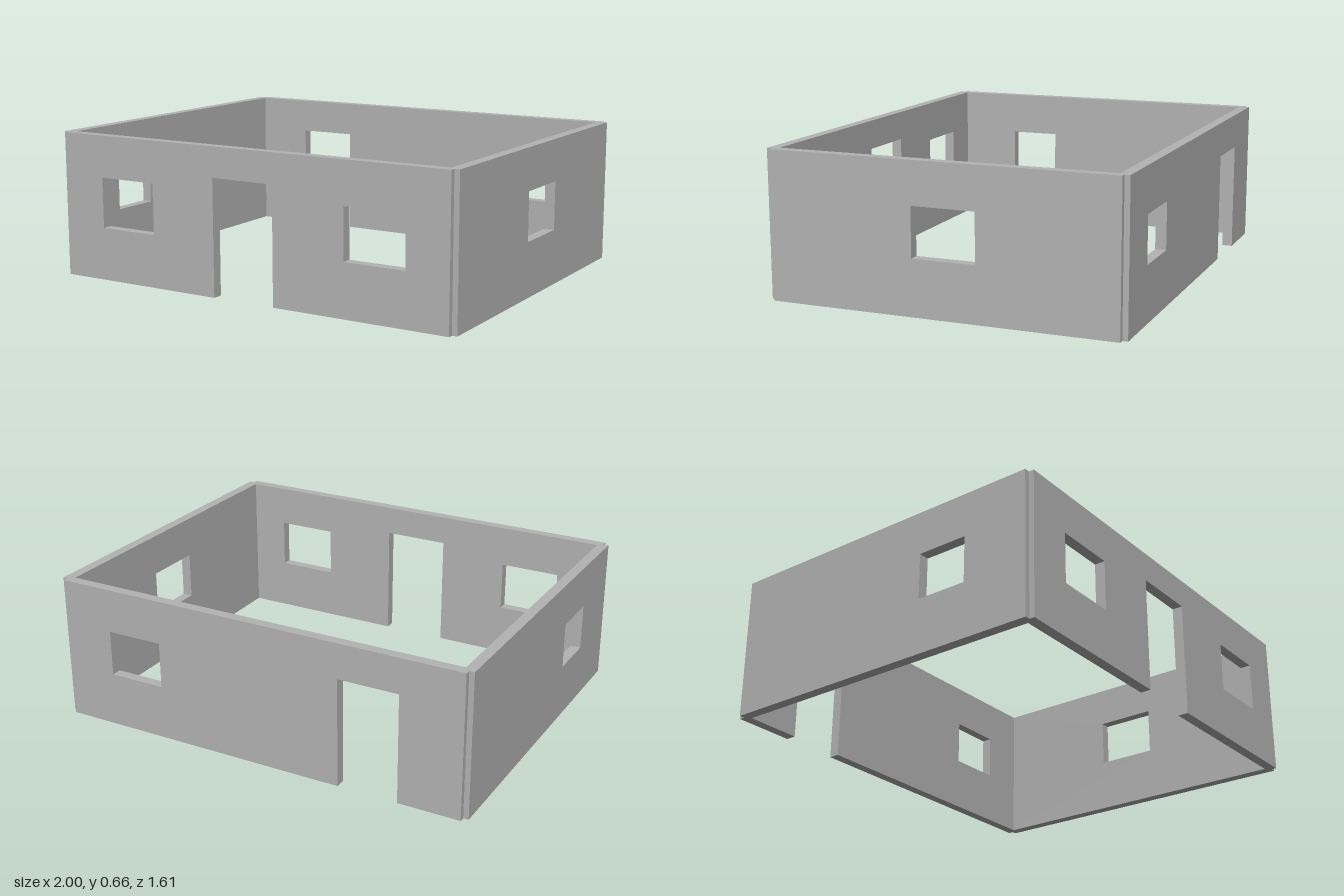
import * as THREE from 'three';

const HEIGHT = 0.66;
const THICK = 0.048;

// Upright wall centred on its own origin, with a floor-level door notch and window holes.
// door: [x0, x1, top]; windows: [x0, x1, y0, y1]
function wallGeometry(halfLength, door, windows) {
  const outline = [[-halfLength, 0]];
  if (door) {
    const [x0, x1, top] = door;
    outline.push([x0, 0], [x0, top], [x1, top], [x1, 0]);
  }
  outline.push([halfLength, 0], [halfLength, HEIGHT], [-halfLength, HEIGHT]);
  const toPoints = (list) => list.map(([x, y]) => new THREE.Vector2(x, y));
  const shape = new THREE.Shape(toPoints(outline));
  for (const [x0, x1, y0, y1] of windows) {
    shape.holes.push(new THREE.Path(toPoints([[x0, y0], [x0, y1], [x1, y1], [x1, y0]])));
  }
  const geometry = new THREE.ExtrudeGeometry(shape, { depth: THICK, bevelEnabled: false });
  return geometry.translate(0, 0, -THICK / 2);
}

export function createModel() {
  const group = new THREE.Group();
  group.name = 'roomWalls';
  const plaster = new THREE.MeshStandardMaterial({ color: 0xb3b3b3 });
  plaster.name = 'greyPlaster';

  function addWall(name, geometry, x, z) {
    const wall = new THREE.Mesh(geometry, plaster);
    wall.name = name;
    wall.position.set(x, 0, z);
    group.add(wall);
  }

  // Long walls, each with an off-centre or central doorway
  const longZ = 0.804 - THICK / 2;
  addWall('frontWall', wallGeometry(0.976, [-0.155, 0.15, 0.525],
    [[-0.765, -0.48, 0.24, 0.47], [0.495, 0.78, 0.24, 0.47]]), 0, longZ);
  addWall('backWall', wallGeometry(0.976, [-0.69, -0.41, 0.5],
    [[0.475, 0.74, 0.25, 0.46]]), 0, -longZ);

  // Short walls: the wall's length axis is turned onto z
  const shortX = 1 - THICK / 2;
  addWall('leftWall', wallGeometry(0.78, null,
    [[-0.165, 0.12, 0.25, 0.47]]).rotateY(-Math.PI / 2), shortX, 0);
  addWall('rightWall', wallGeometry(0.78, null,
    [[0.24, 0.475, 0.25, 0.46]]).rotateY(-Math.PI / 2), -shortX, 0);

  return group;
}
